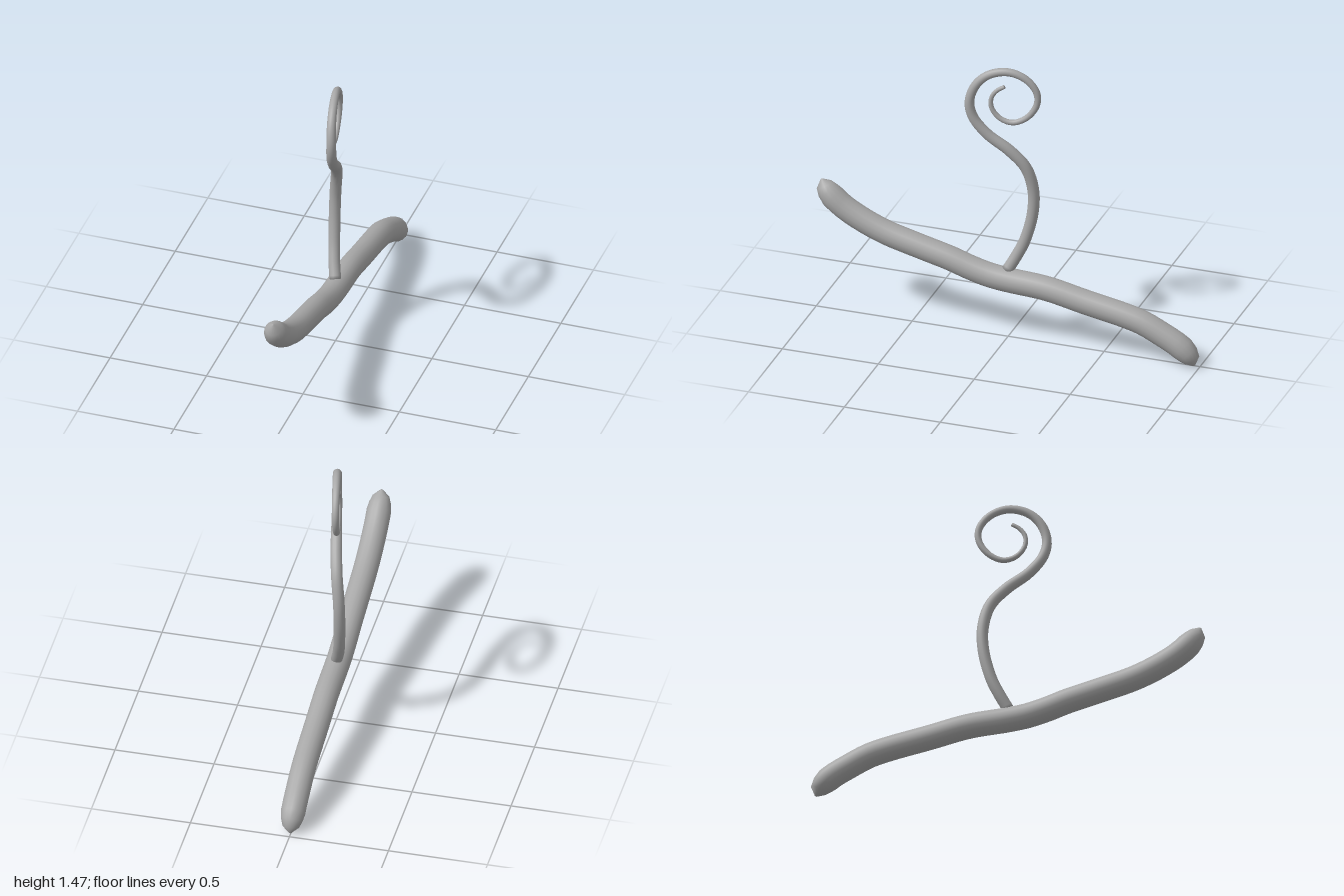
import * as THREE from 'three';

const SIDES = 16;

// Round tube along a curve; radiusAt(u) may vary, both ends are closed.
function sweep(points, stations, radiusAt) {
  const curve = new THREE.CatmullRomCurve3(points.map(p => new THREE.Vector3(...p)), false, 'centripetal');
  curve.arcLengthDivisions = 600;
  const pos = [], idx = [];
  const across = new THREE.Vector3(1, 0, 0);
  stations.forEach(u => {
    const c = curve.getPointAt(u), t = curve.getTangentAt(u);
    // the curves run mostly in the yz plane, so x gives a stable frame
    const a = across.clone().addScaledVector(t, -across.dot(t)).normalize();
    const b = new THREE.Vector3().crossVectors(t, a);
    const r = radiusAt(u);
    for (let j = 0; j < SIDES; j++) {
      const w = (j / SIDES) * Math.PI * 2;
      const v = c.clone().addScaledVector(a, r * Math.cos(w)).addScaledVector(b, r * Math.sin(w));
      pos.push(v.x, v.y, v.z);
    }
  });
  const n = stations.length;
  for (let i = 0; i < n - 1; i++) {
    for (let j = 0; j < SIDES; j++) {
      const k = (j + 1) % SIDES;
      const p = i * SIDES + j, q = i * SIDES + k;
      idx.push(p, q, q + SIDES, p, q + SIDES, p + SIDES);
    }
  }
  // end caps
  [0, 1].forEach(end => {
    const c = curve.getPointAt(end), centre = pos.length / 3, base = end * (n - 1) * SIDES;
    pos.push(c.x, c.y, c.z);
    for (let j = 0; j < SIDES; j++) {
      const p = base + j, q = base + (j + 1) % SIDES;
      if (end) idx.push(centre, p, q); else idx.push(centre, q, p);
    }
  });
  const g = new THREE.BufferGeometry();
  g.setAttribute('position', new THREE.Float32BufferAttribute(pos, 3));
  g.setIndex(idx);
  g.computeVertexNormals();
  return g;
}

export function createModel() {
  const group = new THREE.Group();
  const grey = new THREE.MeshStandardMaterial({ color: 0xa8a8a8 });
  grey.name = 'grey';

  const add = (name, geometry) => {
    const mesh = new THREE.Mesh(geometry, grey);
    mesh.name = name;
    group.add(mesh);
  };

  // Gently waving bar with blunt tapered tips
  const barPath = [
    [0.972, 0.71], [0.955, 0.675], [0.91, 0.62], [0.83, 0.56], [0.66, 0.48], [0.46, 0.425],
    [0.3, 0.385], [0.2, 0.353], [0.1, 0.328], [0, 0.316], [-0.2, 0.302], [-0.4, 0.262],
    [-0.6, 0.224], [-0.7, 0.198], [-0.8, 0.152], [-0.9, 0.097], [-0.95, 0.048], [-0.972, 0.005],
  ].map(([z, y]) => [0.003, y, z]);
  const tip = [0.001, 0.016, 0.032, 0.05];
  const tipRadius = [0.006, 0.042, 0.055, 0.062];
  const barStations = [...tip];
  for (let i = 1; i < 48; i++) barStations.push(0.05 + 0.9 * i / 48);
  barStations.push(...tip.map(u => 1 - u).reverse());
  add('bar', sweep(barPath, barStations, u => {
    const d = Math.min(u, 1 - u);
    const i = tip.findIndex(t => d <= t + 1e-6);
    return i < 0 ? 0.062 : tipRadius[i];
  }));

  // Hook: S-shaped stem winding into a slightly turned spiral
  const hookPath = [
    [0, 0.37, 0.003], [-0.02, 0.45, -0.04], [-0.032, 0.53, -0.076], [-0.042, 0.68, -0.113],
    [-0.039, 0.81, -0.117], [-0.022, 0.935, -0.084], [0, 1.027, -0.006], [0.023, 1.11, 0.1],
    [0.037, 1.2, 0.17], [0.041, 1.283, 0.187], [0.033, 1.37, 0.16], [0.019, 1.433, 0.096],
    [0, 1.455, 0], [-0.017, 1.422, -0.086], [-0.027, 1.353, -0.139], [-0.028, 1.283, -0.139],
    [-0.021, 1.21, -0.09], [-0.01, 1.177, -0.02], [0, 1.196, 0.043], [0.006, 1.25, 0.084],
    [0.005, 1.305, 0.085], [0, 1.345, 0.058], [-0.006, 1.368, 0.022],
  ];
  const hookStations = Array.from({ length: 121 }, (_, i) => i / 120);
  add('hook', sweep(hookPath, hookStations, u =>
    u < 0.35 ? 0.029 : THREE.MathUtils.lerp(0.029, 0.01, (u - 0.35) / 0.65)));

  return group;
}
